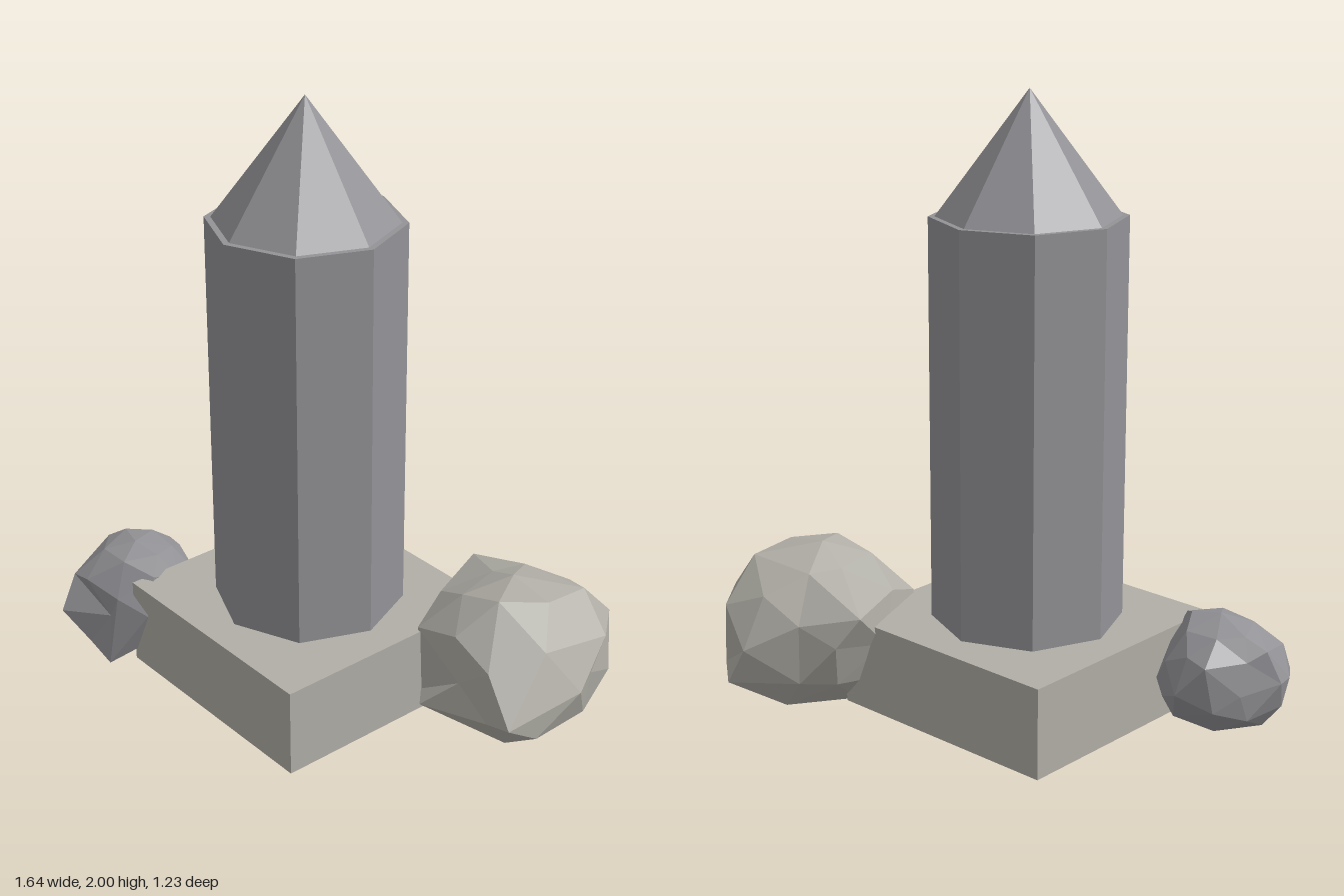
import * as THREE from 'three';
import { mergeVertices } from 'three/addons/utils/BufferGeometryUtils.js';

const warmStone = new THREE.MeshStandardMaterial({ color: 0xb0aea6, flatShading: true });
const coolStone = new THREE.MeshStandardMaterial({ color: 0x939296, flatShading: true });

function addPart(group, name, geometry, material, x = 0, y = 0, z = 0) {
  const mesh = new THREE.Mesh(geometry, material);
  mesh.name = name;
  mesh.position.set(x, y, z);
  group.add(mesh);
}

// A faceted boulder: a subdivided icosahedron whose nearest corners are pulled
// out to the given peaks, the rest following the radius of the peaks around them.
function boulder(center, peaks) {
  const ico = new THREE.IcosahedronGeometry(1, 1);
  ico.deleteAttribute('normal');
  ico.deleteAttribute('uv');
  const geo = mergeVertices(ico, 1e-3);
  const pos = geo.attributes.position;
  const offsets = peaks.map(p => new THREE.Vector3(...p).sub(center));
  const dirs = offsets.map(o => o.clone().normalize());
  const corners = [];
  for (let i = 0; i < pos.count; i++) corners.push(new THREE.Vector3().fromBufferAttribute(pos, i).normalize());

  // Closest peak and corner pairs are matched first
  const pairs = [];
  dirs.forEach((d, p) => corners.forEach((c, v) => pairs.push({ p, v, dot: d.dot(c) })));
  pairs.sort((a, b) => b.dot - a.dot);
  const usedPeak = new Set(), moved = new Set();
  for (const { p, v } of pairs) {
    if (usedPeak.has(p) || moved.has(v)) continue;
    usedPeak.add(p);
    moved.add(v);
    pos.setXYZ(v, offsets[p].x, offsets[p].y, offsets[p].z);
  }
  corners.forEach((c, v) => {
    if (moved.has(v)) return;
    let sum = 0, weights = 0;
    dirs.forEach((d, p) => {
      const w = Math.exp(8 * d.dot(c));
      sum += w * offsets[p].length();
      weights += w;
    });
    const r = sum / weights * (0.93 + 0.06 * Math.sin(v * 12.9));
    pos.setXYZ(v, c.x * r, c.y * r, c.z * r);
  });
  geo.computeVertexNormals();
  return geo;
}

export function createModel() {
  const group = new THREE.Group();
  group.name = 'stoneMonument';
  const cx = -0.055, cz = 0.075;

  // Square plinth, octagonal shaft and slightly narrower pointed cap
  addPart(group, 'plinth', new THREE.BoxGeometry(0.815, 0.29, 0.815), warmStone, cx, 0.195, cz);
  addPart(group, 'shaft', new THREE.CylinderGeometry(0.303, 0.303, 1.28, 8), coolStone, cx, 0.98, cz);
  addPart(group, 'cap', new THREE.ConeGeometry(0.283, 0.38, 8), coolStone, cx, 1.81, cz);

  // Large boulder at the back left corner
  const large = new THREE.Vector3(0.52, 0.26, -0.27);
  addPart(group, 'largeBoulder', boulder(large, [
    [0.6, 0.13, -0.615], [0.81, 0.24, 0.02], [0.43, 0.14, 0.03], [0.48, 0.005, -0.29],
    [0.81, 0.16, -0.1], [0.58, 0.515, -0.15], [0.67, 0.495, -0.43], [0.665, 0.36, -0.56],
    [0.77, 0.37, -0.43], [0.19, 0.4, -0.42], [0.25, 0.3, -0.47], [0.34, 0.35, -0.04],
    [0.28, 0.2, -0.13], [0.35, 0.12, -0.05], [0.65, 0.04, -0.13], [0.4, 0.48, -0.3],
    [0.79, 0.28, -0.35], [0.5, 0.03, -0.46], [0.3, 0.15, -0.42], [0.55, 0.26, -0.02],
  ]), warmStone, large.x, large.y, large.z);

  // Small boulder at the front right corner
  const small = new THREE.Vector3(-0.6, 0.21, 0.36);
  addPart(group, 'smallBoulder', boulder(small, [
    [-0.81, 0.22, 0.4], [-0.7, 0.17, 0.61], [-0.48, 0.06, 0.575], [-0.38, 0.25, 0.485],
    [-0.59, 0.4, 0.38], [-0.43, 0.35, 0.42], [-0.6, 0.025, 0.39], [-0.73, 0.05, 0.42],
    [-0.78, 0.33, 0.36], [-0.72, 0.37, 0.33], [-0.595, 0.2, 0.145], [-0.47, 0.2, 0.215],
    [-0.75, 0.2, 0.27], [-0.68, 0.3, 0.18], [-0.63, 0.3, 0.55], [-0.53, 0.2, 0.53],
    [-0.78, 0.12, 0.45], [-0.55, 0.1, 0.2], [-0.46, 0.2, 0.34],
  ]), coolStone, small.x, small.y, small.z);

  return group;
}
